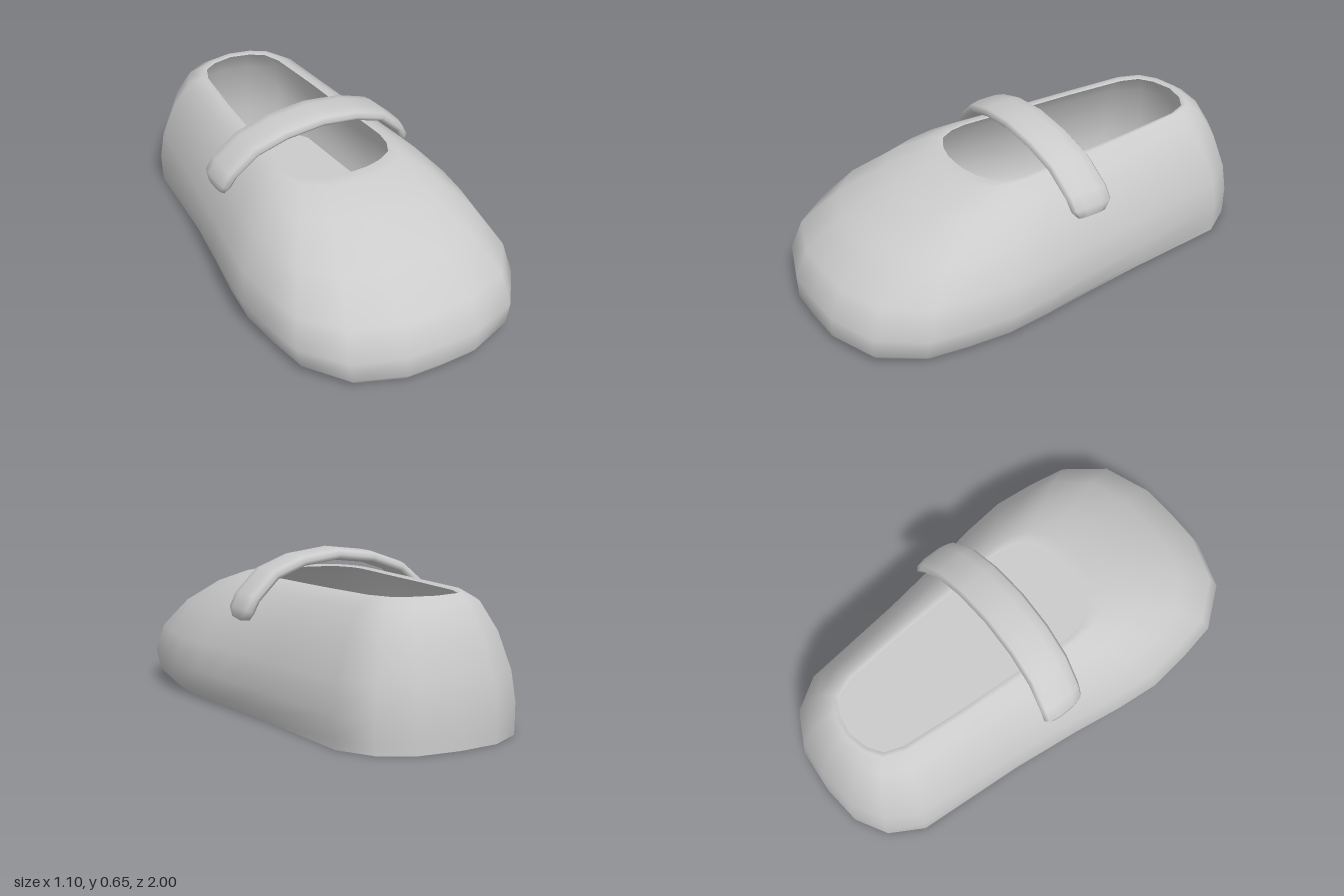
import * as THREE from 'three';

const material = new THREE.MeshStandardMaterial({ color: 0xcccccc, side: THREE.DoubleSide });

// Skin a list of closed rings (equal point counts) with smooth normals.
function loft(rings) {
  const n = rings[0].length, index = [];
  for (let r = 0; r < rings.length - 1; r++) {
    for (let i = 0; i < n; i++) {
      const a = r * n + i, b = r * n + (i + 1) % n;
      index.push(a, a + n, b, b, a + n, b + n);
    }
  }
  const geometry = new THREE.BufferGeometry();
  geometry.setAttribute('position', new THREE.Float32BufferAttribute(rings.flat(2), 3));
  geometry.setIndex(index);
  geometry.computeVertexNormals();
  return geometry;
}

function addMesh(group, name, geometry) {
  const mesh = new THREE.Mesh(geometry, material);
  mesh.name = name;
  group.add(mesh);
}

// Complete a half outline (heel centre to toe centre) by mirroring it in x.
const mirror = (half) => [...half, ...half.slice(1, -1).reverse().map(([x, z]) => [-x, z])];

// Widest outline of the shoe and the edge of the foot opening, as [x, z].
const outline = mirror([
  [0, -1], [0.17, -0.985], [0.31, -0.91], [0.4, -0.77], [0.45, -0.3], [0.495, 0],
  [0.53, 0.2], [0.55, 0.39], [0.53, 0.58], [0.5, 0.75], [0.37, 0.92], [0.16, 0.995], [0, 1],
]);
const opening = mirror([
  [0, -0.81], [0.09, -0.79], [0.15, -0.75], [0.18, -0.67], [0.205, -0.4], [0.22, -0.15],
  [0.235, 0.05], [0.24, 0.13], [0.23, 0.2], [0.2, 0.26], [0.13, 0.3], [0.06, 0.317], [0, 0.32],
]);

// Outline drawn in towards the sole; the heel stays upright.
function lowerRing(y, insetX, insetToe) {
  return outline.map(([x, z]) => {
    const f = THREE.MathUtils.clamp((z + 1) / 1.3, 0, 1);
    return [x * (1 - insetX * f), y, z > 0 ? z * (1 - insetToe) : z];
  });
}

// Outline blended towards the opening; height varies from heel to toe.
function upperRing(t, heelY, toeY) {
  return outline.map(([x, z], i) => {
    const [ox, oz] = opening[i];
    const y = THREE.MathUtils.lerp(heelY, toeY, (z + 1) / 2);
    return [x + (ox - x) * t, y, z + (oz - z) * t];
  });
}

// Rounded strap section at one station along its arch.
function strapRing(x, y, z, nx, ny, scale) {
  const ring = [], sides = 10;
  for (let i = 0; i < sides; i++) {
    const a = (i / sides) * Math.PI * 2, c = Math.cos(a), s = Math.sin(a);
    const w = 0.099 * scale * Math.sign(c) * Math.abs(c) ** 0.75;
    const h = 0.027 * scale * Math.sign(s) * Math.abs(s) ** 0.75;
    ring.push([x + nx * h, y + ny * h, z + w]);
  }
  return ring;
}

export function createModel() {
  const group = new THREE.Group();
  group.name = 'shoe';

  // Upper: open shell from the sole edge to the rolled rim
  const soleRing = lowerRing(0, 0.11, 0.03);
  addMesh(group, 'upper', loft([
    soleRing,
    lowerRing(0.04, 0.045, 0),
    upperRing(0, 0.13, 0.13),
    upperRing(0.08, 0.25, 0.25),
    upperRing(0.32, 0.4, 0.375),
    upperRing(0.63, 0.51, 0.475),
    upperRing(0.9, 0.545, 0.532),
    upperRing(1, 0.535, 0.53),
  ]));

  // Flat sole
  const soleShape = new THREE.Shape(soleRing.map(([x, , z]) => new THREE.Vector2(x, z)));
  addMesh(group, 'sole', new THREE.ShapeGeometry(soleShape).rotateX(Math.PI / 2));

  // Strap: stations are x, y, z, normal x, normal y, scale
  const half = [
    [0, 0.628, -0.017, 0, 1, 1],
    [0.165, 0.608, -0.021, 0.24, 0.97, 1],
    [0.3, 0.56, -0.032, 0.5, 0.87, 1],
    [0.4, 0.47, -0.048, 0.78, 0.62, 1],
    [0.428, 0.42, -0.054, 0.93, 0.36, 0.98],
    [0.433, 0.385, -0.054, 0.98, 0.2, 0.68],
    [0.434, 0.375, -0.054, 1, 0, 0],
  ];
  const left = half.slice(1).reverse().map(([x, y, z, nx, ny, s]) => [-x, y, z, -nx, ny, s]);
  addMesh(group, 'strap', loft([...left, ...half].map((p) => strapRing(...p))));

  return group;
}
